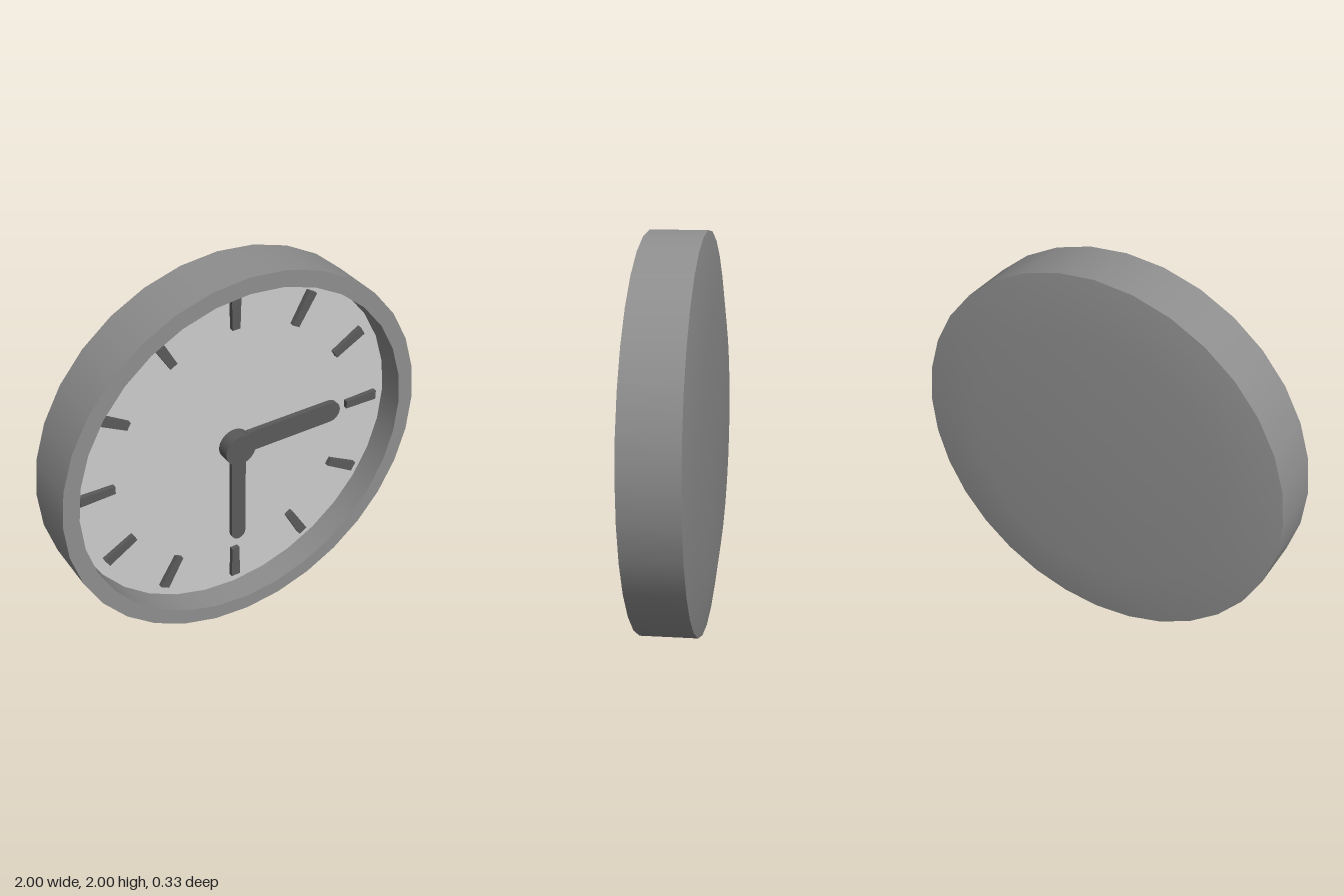
import * as THREE from 'three';

const SIDES = 32;
const FACE_Z = 0.025, FRONT_Z = 0.165;

export function createModel() {
  const group = new THREE.Group();
  const casing = new THREE.MeshStandardMaterial({ name: 'casing grey', color: 0x8e8e8e });
  const dial = new THREE.MeshStandardMaterial({ name: 'dial light grey', color: 0xcccccc });
  const dark = new THREE.MeshStandardMaterial({ name: 'dark grey', color: 0x5a5a5a });

  const add = (name, geometry, material, z = 0) => {
    const mesh = new THREE.Mesh(geometry, material);
    mesh.name = name;
    mesh.position.set(0, 1, z);
    group.add(mesh);
    return mesh;
  };

  // Surface of revolution about z, from [radius, z] points
  const turned = (name, points, material) => {
    const geometry = new THREE.LatheGeometry(points.map(p => new THREE.Vector2(...p)), SIDES);
    add(name, geometry.rotateX(Math.PI / 2), material);
  };

  // Casing: one surface per crease, smooth within each
  turned('casingBack', [[0, -0.165], [0.69, -0.165], [1, -0.12]], casing);
  turned('casingSide', [[1, -0.12], [1, FRONT_Z]], casing);
  turned('rimFront', [[1, FRONT_Z], [0.915, FRONT_Z]], casing);
  turned('rimInside', [[0.915, FRONT_Z], [0.915, FACE_Z]], casing);
  turned('dial', [[0.915, FACE_Z], [0, FACE_Z]], dial);

  const extrude = (shape, depth) =>
    new THREE.ExtrudeGeometry(shape, { depth, bevelEnabled: false, curveSegments: 10 });

  // Twelve hour marks, slightly narrower towards the centre
  const markShape = new THREE.Shape([[-0.021, 0.67], [0.021, 0.67], [0.026, 0.855], [-0.026, 0.855]]
    .map(p => new THREE.Vector2(...p)));
  const markGeometry = extrude(markShape, 0.024);
  for (let i = 0; i < 12; i++) {
    add('hourMark' + (i + 1), markGeometry, dark, FACE_Z).rotation.z = -(i + 1) * Math.PI / 6;
  }

  // Hands with rounded tips, drawn upwards and then turned
  const hand = (name, length, halfWidth, z, depth, angle) => {
    const shape = new THREE.Shape();
    shape.moveTo(-halfWidth, 0);
    shape.lineTo(halfWidth, 0);
    shape.lineTo(halfWidth, length - halfWidth);
    shape.absarc(0, length - halfWidth, halfWidth, 0, Math.PI, false);
    add(name, extrude(shape, depth), dark, z).rotation.z = angle;
  };
  hand('wideHand', 0.62, 0.058, 0.03, 0.028, -Math.PI / 2);
  hand('narrowHand', 0.58, 0.04, 0.05, 0.025, Math.PI);

  // Centre hub
  const hub = new THREE.CylinderGeometry(0.085, 0.085, 0.07, SIDES).rotateX(Math.PI / 2);
  add('hub', hub, dark, FACE_Z + 0.035);

  return group;
}
